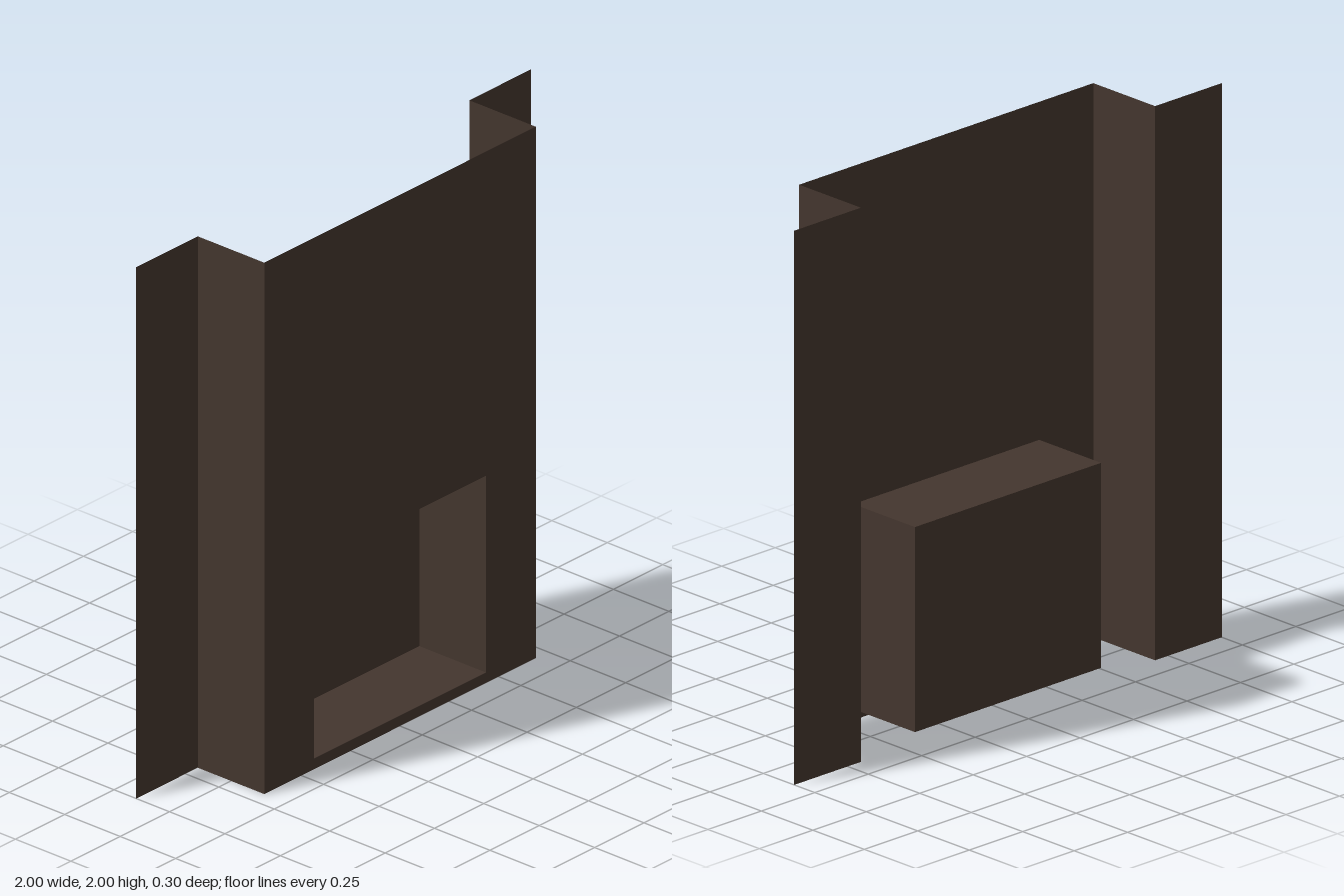
import * as THREE from 'three';

export function createModel() {
  const group = new THREE.Group();
  const brown = new THREE.MeshStandardMaterial({ color: 0x44362e, side: THREE.DoubleSide });
  brown.name = 'dark brown';

  const H = 2, D = 0.15;             // height, half depth
  const breast = 0.688;              // half width of the projecting front
  const hole = 0.435, y0 = 0.04, y1 = 0.78; // firebox opening

  const add = (name, geometry, x, y, z, rx = 0, ry = 0) => {
    const mesh = new THREE.Mesh(geometry, brown);
    mesh.name = name;
    mesh.position.set(x, y, z);
    mesh.rotation.set(rx, ry, 0);
    group.add(mesh);
  };
  const plane = (w, h) => new THREE.PlaneGeometry(w, h);

  // Projecting front with the firebox opening
  const shape = new THREE.Shape([
    new THREE.Vector2(-breast, 0), new THREE.Vector2(breast, 0),
    new THREE.Vector2(breast, H), new THREE.Vector2(-breast, H),
  ]);
  shape.holes.push(new THREE.Path([
    new THREE.Vector2(-hole, y0), new THREE.Vector2(-hole, y1),
    new THREE.Vector2(hole, y1), new THREE.Vector2(hole, y0),
  ]));
  add('chimneyFront', new THREE.ShapeGeometry(shape), 0, 0, D);

  // Returns, flat wall strips and firebox cheeks, mirrored
  const wing = 1 - breast, hy = y1 - y0, my = (y0 + y1) / 2;
  for (const [side, s] of [['left', 1], ['right', -1]]) {
    add(side + 'Return', plane(2 * D, H), s * breast, H / 2, 0, 0, s * Math.PI / 2);
    add(side + 'Wall', plane(wing, H), s * (breast + wing / 2), H / 2, -D);
    add(side + 'FireboxCheek', plane(2 * D, hy), s * hole, my, 0, 0, -s * Math.PI / 2);
  }

  // Firebox back, floor and ceiling
  add('fireboxBack', plane(2 * hole, hy), 0, my, -D);
  add('fireboxFloor', plane(2 * hole, 2 * D), 0, y0, 0, -Math.PI / 2);
  add('fireboxCeiling', plane(2 * hole, 2 * D), 0, y1, 0, Math.PI / 2);

  return group;
}
